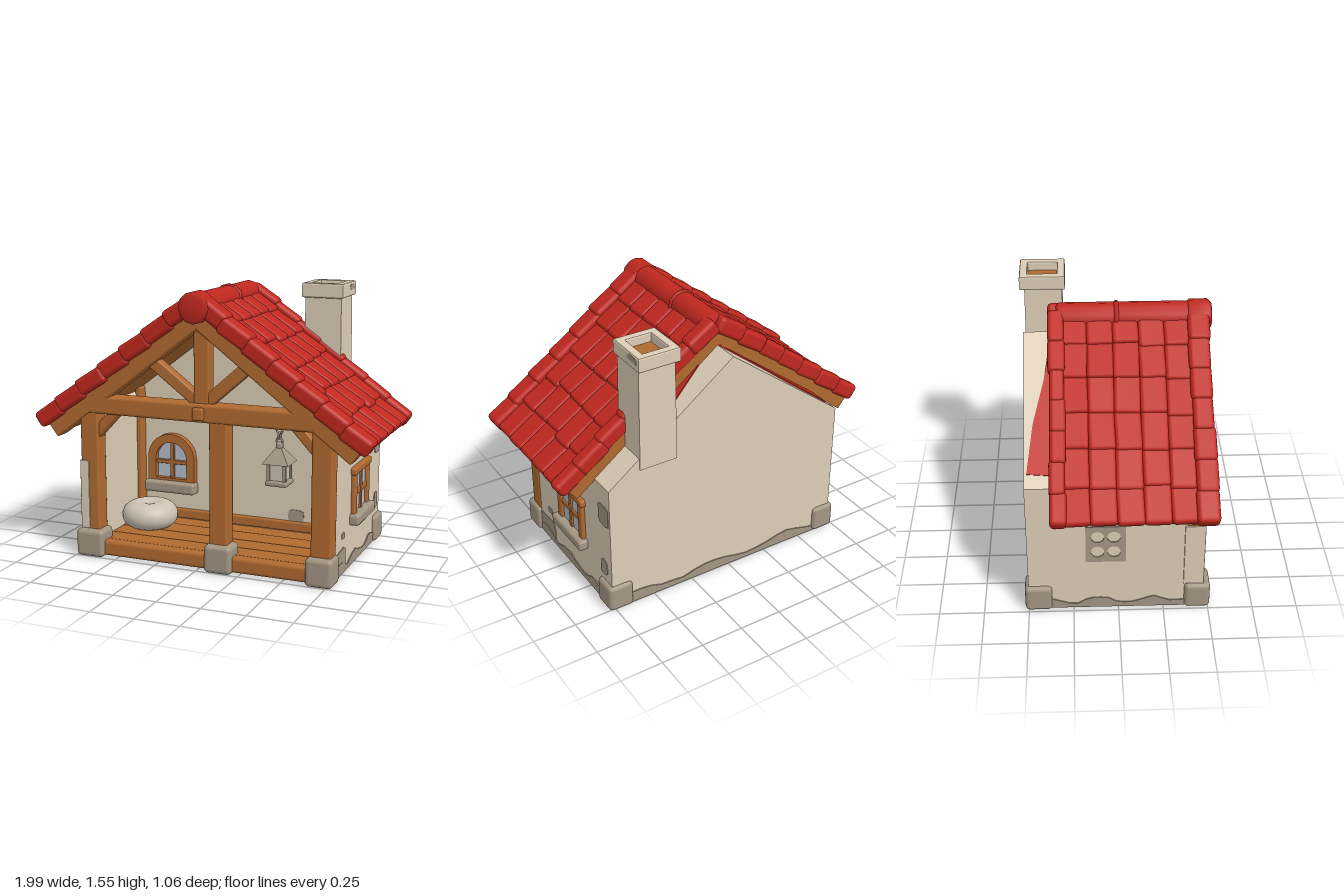
import * as THREE from 'three';
import { RoundedBoxGeometry } from 'three/addons/geometries/RoundedBoxGeometry.js';

const mat = (name, color) => {
  const m = new THREE.MeshStandardMaterial({ color });
  m.name = name;
  return m;
};

export function createModel() {
  const root = new THREE.Group();
  root.name = 'cottage';
  const red = mat('roof red', 0xc0281f);
  const wood = mat('timber brown', 0xb06a30);
  const plaster = mat('plaster cream', 0xdccdb6);
  const stone = mat('stone grey', 0xa39583);
  const glass = mat('window glass', 0xb0bccb);
  const linen = mat('cushion linen', 0xccc2b3);

  let seed = 7;
  const rnd = (a) => {
    seed = (seed * 16807) % 2147483647;
    return (seed / 2147483647 - 0.5) * 2 * a;
  };

  const add = (name, geo, m, parent = root) => {
    const mesh = new THREE.Mesh(geo, m);
    mesh.name = name;
    parent.add(mesh);
    return mesh;
  };
  const group = (name, parent = root) => {
    const g = new THREE.Group();
    g.name = name;
    parent.add(g);
    return g;
  };
  // Softly rounded box given by its limits
  const block = (name, m, x0, x1, y0, y1, z0, z1, parent = root, r = 0.012) => {
    const w = x1 - x0, h = y1 - y0, d = z1 - z0;
    const geo = new RoundedBoxGeometry(w, h, d, 2, Math.min(r, w * 0.45, h * 0.45, d * 0.45));
    const mesh = add(name, geo, m, parent);
    mesh.position.set((x0 + x1) / 2, (y0 + y1) / 2, (z0 + z1) / 2);
    return mesh;
  };
  // Timber laid between two points in the front plane
  const strut = (name, x1, y1, x2, y2, w, z0, z1, parent = root) => {
    const len = Math.hypot(x2 - x1, y2 - y1);
    const mesh = block(name, wood, -len / 2, len / 2, -w / 2, w / 2, z0, z1, parent);
    mesh.position.set((x1 + x2) / 2, (y1 + y2) / 2, (z0 + z1) / 2);
    mesh.rotation.z = Math.atan2(y2 - y1, x2 - x1);
    return mesh;
  };
  const shapeOf = (pts) => new THREE.Shape(pts.map(([x, y]) => new THREE.Vector2(x, y)));
  const plate = (shape, depth) => new THREE.ExtrudeGeometry(shape, { depth, bevelEnabled: false, curveSegments: 12 });
  const rectPath = (x0, x1, y0, y1) => shapeOf([[x0, y0], [x1, y0], [x1, y1], [x0, y1]]);

  // Walls: solid rear room with gable, two side walls of the porch
  const gable = shapeOf([[-0.72, 0.02], [0.765, 0.02], [0.765, 0.79], [0, 1.37], [-0.72, 0.825]]);
  add('rearRoom', plate(gable, 0.4), plaster).position.z = -0.5;
  block('rightWall', plaster, 0.66, 0.765, 0.02, 0.84, -0.12, 0.38);
  block('leftWall', plaster, -0.72, -0.62, 0.02, 0.86, -0.12, 0.38);

  // Floor
  block('floorBase', wood, -0.71, 0.755, 0.008, 0.085, -0.495, 0.44, root, 0.004);
  for (let i = 0; i < 4; i++) {
    block('floorPlank', wood, -0.62, 0.66, 0.08, 0.1 + rnd(0.003), -0.1 + i * 0.131, 0.028 + i * 0.131, root, 0.008);
  }
  block('frontSill', wood, -0.6, 0.68, 0.01, 0.1, 0.41, 0.48, root, 0.02);
  block('rearSkirting', wood, -0.62, 0.66, 0.1, 0.16, -0.11, -0.08);
  block('rearCornerPost', wood, -0.63, -0.59, 0.1, 0.9, -0.11, -0.04);

  // Corner and post foot stones
  for (const [x0, x1] of [[-0.745, -0.575], [0.05, 0.21], [0.635, 0.79]]) {
    const foot = block('footStone', stone, x0, x1, 0, 0.16, 0.365, 0.51, root, 0.025);
    foot.rotation.y = rnd(0.02);
  }
  block('rearStone', stone, -0.745, -0.6, 0, 0.16, -0.52, -0.37, root, 0.025);
  block('rearStone', stone, 0.64, 0.79, 0, 0.16, -0.52, -0.37, root, 0.025);

  // Wavy stone course along the wall feet
  const course = (name, len) => {
    const pts = [[0, 0.006], [len, 0.006]];
    for (let i = 20; i >= 0; i--) pts.push([(len * i) / 20, 0.055 + 0.018 * Math.sin(i * 0.9) + rnd(0.008)]);
    return add(name, plate(shapeOf(pts), 0.007), stone);
  };
  const rightCourse = course('rightCourse', 0.85);
  rightCourse.position.set(0.764, 0, 0.37);
  rightCourse.rotation.y = Math.PI / 2;
  const leftCourse = course('leftCourse', 0.85);
  leftCourse.position.set(-0.719, 0, -0.48);
  leftCourse.rotation.y = -Math.PI / 2;
  const backCourse = course('backCourse', 1.44);
  backCourse.position.set(0.74, 0, -0.499);
  backCourse.rotation.y = Math.PI;

  // Bare stone patches with uneven rounded outlines: x, y, z, width, height, turn
  const patch = (x, y, z, w, h, turn) => {
    const pts = [];
    for (let i = 0; i < 10; i++) {
      const t = (i / 10) * Math.PI * 2, c = Math.cos(t), s = Math.sin(t);
      const px = Math.sign(c) * Math.sqrt(Math.abs(c)), py = Math.sign(s) * Math.sqrt(Math.abs(s));
      pts.push([(w / 2) * px + rnd(0.006), (h / 2) * py + rnd(0.006)]);
    }
    const mesh = add('stonePatch', plate(shapeOf(pts), 0.006), stone);
    mesh.position.set(x, y, z);
    mesh.rotation.y = turn;
  };
  for (const [y, z, h, w] of [[0.605, -0.43, 0.13, 0.11], [0.25, -0.42, 0.09, 0.07], [0.215, 0.235, 0.035, 0.05], [0.09, 0.28, 0.12, 0.2]]) {
    patch(0.763, y, z, w, h, Math.PI / 2);
  }
  patch(0.38, 0.18, -0.101, 0.1, 0.1, 0);
  patch(0.582, 1.508, -0.46, 0.09, 0.03, Math.PI / 2);

  // Stone lattice on the left wall
  const vent = rectPath(-0.11, 0.11, -0.12, 0.12);
  for (const x of [-0.045, 0.045]) for (const y of [-0.05, 0.05]) {
    vent.holes.push(new THREE.Path().absarc(x, y, 0.036, 0, Math.PI * 2, true));
  }
  const blind = add('leftStoneLattice', plate(vent, 0.006), stone);
  blind.position.set(-0.719, 0.45, -0.07);
  blind.rotation.y = -Math.PI / 2;

  // Front timber frame
  for (const [x0, x1] of [[-0.72, -0.61], [0.07, 0.175], [0.655, 0.77]]) {
    block('frontPost', wood, x0, x1, 0.13, 0.86, 0.37, 0.47);
  }
  block('postPlaster', plaster, -0.725, -0.67, 0.16, 0.56, 0.36, 0.474, root, 0.004);
  block('tieBeam', wood, -0.74, 0.74, 0.835, 0.94, 0.37, 0.475, root, 0.018);
  block('beamPeg', wood, -0.02, 0.045, 0.85, 0.92, 0.46, 0.495);
  block('kingPost', wood, -0.025, 0.065, 0.92, 1.37, 0.375, 0.455);
  for (const s of [-1, 1]) {
    strut('trussStrut', 0.02 + s * 0.02, 0.94, s * 0.28, 1.15, 0.07, 0.385, 0.45);
  }
  strut('kneeBrace', -0.64, 0.71, -0.5, 0.86, 0.06, 0.38, 0.45);
  strut('kneeBrace', 0.69, 0.71, 0.55, 0.86, 0.06, 0.38, 0.45);

  // Roof slopes: local x runs down the slope, local y is its normal
  const len = 1.195;
  for (const s of [-1, 1]) {
    const slope = group(s > 0 ? 'rightSlope' : 'leftSlope');
    slope.position.y = 1.465;
    slope.rotation.z = -s * 0.65;
    const piece = (name, m, a, b, n0, n1, z0, z1, r) =>
      block(name, m, s > 0 ? a : -b, s > 0 ? b : -a, n0, n1, z0, z1, slope, r);
    piece('roofBoard', wood, 0, 1.16, -0.085, 0.012, -0.35, 0.45, 0.006);
    piece('frontRafter', wood, 0, 1.165, -0.1, 0.01, 0.37, 0.475, 0.012);
    // Field tiles in overlapping courses
    const rows = 6, cols = 5, step = len / rows, zw = 0.7 / cols;
    for (let i = 0; i < rows; i++) {
      for (let j = 0; j < cols; j++) {
        const a = i * step - (i ? 0.03 : 0), z = -0.295 + j * zw;
        const end = (i + 1) * step + (i < rows - 1 ? rnd(0.015) : rnd(0.006) - 0.006);
        const tile = piece('roofTile', red, a, end, -0.008, 0.052, z - 0.003, z + zw + 0.003, 0.022);
        tile.rotation.set(rnd(0.03), rnd(0.04), s * (0.08 + rnd(0.025)));
      }
    }
    // Verge tiles at both gable ends
    for (let i = 0; i < 7; i++) {
      const a = (i * len) / 7, b = a + len / 7 + 0.015;
      for (const [z0, z1] of [[0.395, 0.512], [-0.36, -0.275]]) {
        const verge = piece('vergeTile', red, a - 0.01, Math.min(b, len + 0.003), -0.016, 0.08, z0 + rnd(0.006), z1 + rnd(0.006), 0.025);
        verge.rotation.z = s * (0.06 + rnd(0.03));
      }
    }
    // Red strip on the exposed rear wall top
    const strip = s < 0
      ? [[-0.06, -0.35], [-0.35, -0.39], [-0.6, -0.45], [-0.88, -0.485], [-0.89, -0.35]]
      : [[0.2, -0.35], [0.42, -0.4], [0.45, -0.35]];
    add('rearRedStrip', plate(shapeOf(strip), 0.008).rotateX(Math.PI / 2), red, slope).position.y = -0.068;
  }

  // Ridge tiles
  for (const [z0, z1, r] of [[-0.32, 0.03, 0.077], [0.0, 0.42, 0.077], [0.39, 0.53, 0.087], [-0.015, 0.035, 0.085]]) {
    const h = z1 - z0, c = Math.min(0.02, h * 0.4);
    const pts = [[0, -h / 2], [r - c, -h / 2], [r, -h / 2 + c], [r, h / 2 - c], [r - c, h / 2], [0, h / 2]];
    const ridge = add('ridgeTile', new THREE.LatheGeometry(pts.map((p) => new THREE.Vector2(...p)), 12), red);
    ridge.rotation.x = Math.PI / 2;
    ridge.position.set(0, 1.462, (z0 + z1) / 2);
  }

  // Chimney with a hollow cap
  const shaft = new THREE.CylinderGeometry(0.152, 0.16, 0.6, 4).rotateY(Math.PI / 4).toNonIndexed();
  shaft.computeVertexNormals();
  add('chimneyShaft', shaft, plaster).position.set(0.465, 1.165, -0.395);
  const cap = rectPath(-0.113, 0.113, -0.12, 0.12);
  cap.holes.push(rectPath(-0.085, 0.085, -0.095, 0.095));
  const capGeo = new THREE.ExtrudeGeometry(cap, { depth: 0.065, bevelSize: 0.01, bevelThickness: 0.01, bevelSegments: 2 });
  add('chimneyCap', capGeo.rotateX(-Math.PI / 2), plaster).position.set(0.463, 1.463, -0.4);
  block('chimneyFlue', wood, 0.375, 0.55, 1.45, 1.485, -0.497, -0.303, root, 0.003);

  // Arched window on the porch's rear wall
  const arch = (w, y0, yc) => {
    const p = new THREE.Shape();
    p.moveTo(-w, y0);
    p.lineTo(w, y0);
    p.lineTo(w, yc);
    p.absarc(0, yc, w, 0, Math.PI, false);
    p.lineTo(-w, y0);
    return p;
  };
  const archWin = group('archedWindow');
  archWin.position.set(-0.405, 0, -0.1);
  const frame = arch(0.152, 0.32, 0.47);
  frame.holes.push(arch(0.1, 0.35, 0.47));
  add('archFrame', plate(frame, 0.04), wood, archWin);
  add('archGlass', plate(arch(0.105, 0.34, 0.47), 0.008), glass, archWin);
  block('mullion', wood, -0.012, 0.012, 0.34, 0.575, 0, 0.025, archWin, 0.004);
  block('glazingBar', wood, -0.105, 0.105, 0.435, 0.459, 0, 0.025, archWin, 0.004);
  block('archSill', stone, -0.165, 0.165, 0.265, 0.335, 0, 0.08, archWin, 0.018);

  // Square window on the right wall
  const win = group('sideWindow');
  win.position.set(0.765, 0, -0.06);
  win.rotation.y = Math.PI / 2;
  block('sideGlass', glass, -0.11, 0.11, 0.28, 0.545, -0.002, 0.007, win, 0.002);
  block('lintel', wood, -0.163, 0.163, 0.525, 0.568, -0.01, 0.03, win);
  for (const x of [-0.125, 0.125]) block('jamb', wood, x - 0.025, x + 0.025, 0.28, 0.54, -0.01, 0.024, win);
  block('mullion', wood, -0.016, 0.016, 0.28, 0.54, 0, 0.018, win, 0.005);
  block('glazingBar', wood, -0.11, 0.11, 0.398, 0.43, 0, 0.016, win, 0.005);
  block('sideSill', stone, -0.172, 0.172, 0.24, 0.305, -0.01, 0.055, win, 0.018);

  // Floor cushion with a dimpled top
  const cushion = [[0, 0], [0.1, 0], [0.15, 0.03], [0.165, 0.075], [0.148, 0.122], [0.1, 0.15], [0.04, 0.145], [0, 0.125]];
  const curve = new THREE.SplineCurve(cushion.map((p) => new THREE.Vector2(...p)));
  const profile = curve.getPoints(24).map((p) => new THREE.Vector2(Math.max(0, p.x), p.y));
  add('floorCushion', new THREE.LatheGeometry(profile, 28), linen).position.set(-0.46, 0.1, 0.12);

  // Lantern hanging from the tie beam
  const lantern = group('lantern');
  lantern.position.set(0.46, 0, 0.42);
  for (let i = 0; i < 3; i++) {
    const link = add('chainLink', new THREE.TorusGeometry(0.017, 0.006, 6, 12), stone, lantern);
    link.position.y = 0.825 - i * 0.03;
    link.rotation.y = i % 2 ? Math.PI / 2 : 0;
  }
  const hood = new THREE.CylinderGeometry(0.02, 0.105, 0.085, 4).rotateY(Math.PI / 4).toNonIndexed();
  hood.computeVertexNormals();
  add('lanternHood', hood, stone, lantern).position.y = 0.69;
  block('lanternFinial', stone, -0.018, 0.018, 0.72, 0.76, -0.018, 0.018, lantern);
  block('lanternLight', linen, -0.044, 0.044, 0.55, 0.65, -0.044, 0.044, lantern, 0.003);
  for (const x of [-0.045, 0.045]) for (const z of [-0.045, 0.045]) {
    block('lanternBar', stone, x - 0.009, x + 0.009, 0.54, 0.655, z - 0.009, z + 0.009, lantern, 0.003);
  }
  block('lanternBase', stone, -0.062, 0.062, 0.525, 0.555, -0.062, 0.062, lantern);

  return root;
}
